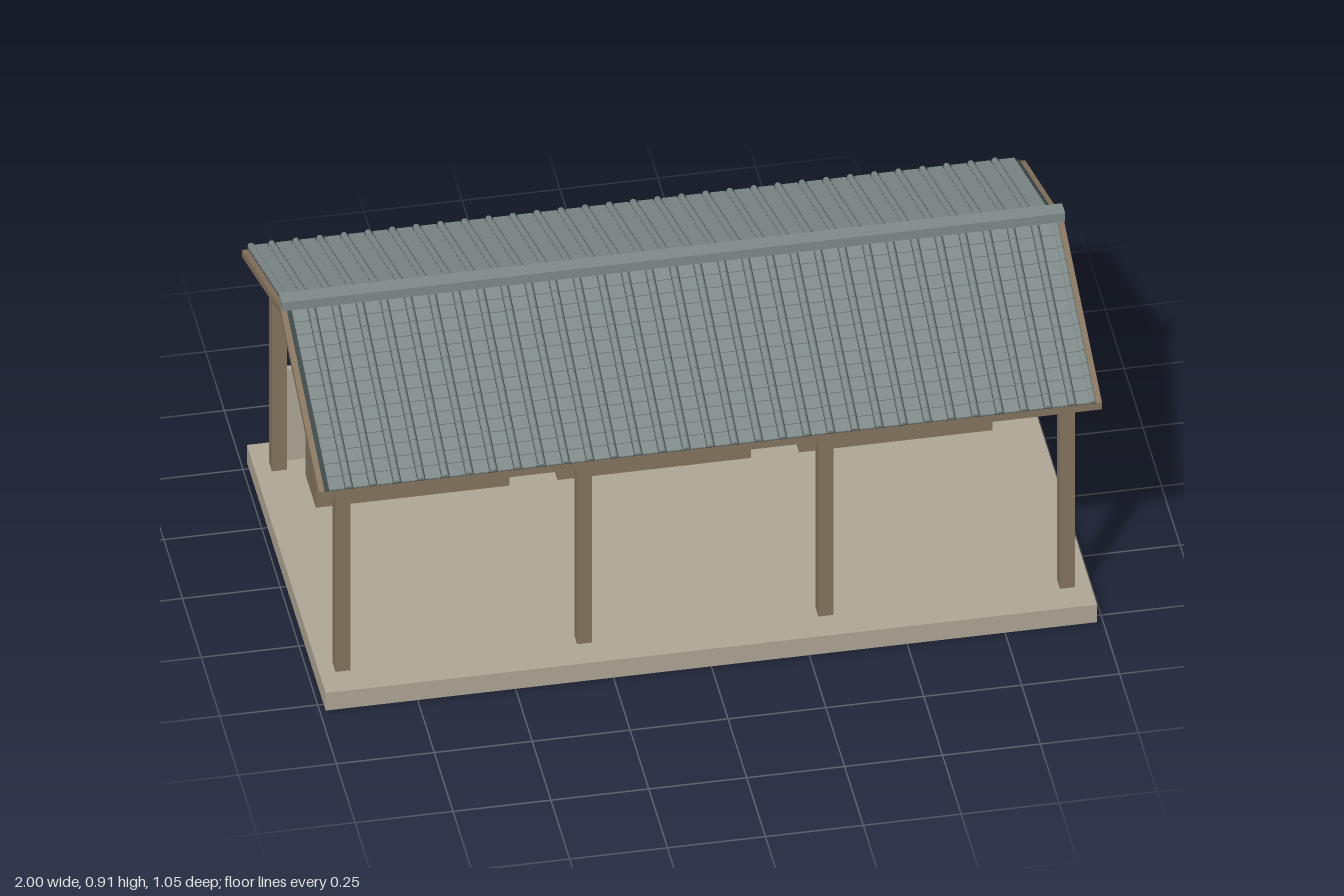
import * as THREE from 'three';
import { mergeGeometries } from 'three/addons/utils/BufferGeometryUtils.js';

const stone = new THREE.MeshStandardMaterial({ color: 0xada594, name: 'stone' });
const wood = new THREE.MeshStandardMaterial({ color: 0x84735e, name: 'wood' });
const tile = new THREE.MeshStandardMaterial({ color: 0x7d8988, name: 'roofTile' });
const dark = new THREE.MeshStandardMaterial({ color: 0x3a4444, name: 'darkUnderlay' });

// Box given by its limits along x, y and z
function box(name, material, x0, x1, y0, y1, z0, z1) {
  const mesh = new THREE.Mesh(new THREE.BoxGeometry(x1 - x0, y1 - y0, z1 - z0), material);
  mesh.position.set((x0 + x1) / 2, (y0 + y1) / 2, (z0 + z1) / 2);
  mesh.name = name;
  return mesh;
}

// Open feeding trough made of a floor and four boards
function makeTrough(x) {
  const g = new THREE.Group();
  g.name = 'trough';
  const w = 0.247, t = 0.018, y0 = 0.055, y1 = 0.202, z0 = -0.38, z1 = -0.237;
  g.add(
    box('troughFloor', wood, -w + t, w - t, y0, y0 + 0.03, z0 + t, z1 - t),
    box('troughFront', wood, -w, w, y0, y1, z1 - t, z1),
    box('troughBack', wood, -w, w, y0, y1, z0, z0 + t),
    box('troughEnd', wood, -w, -w + t, y0, y1, z0 + t, z1 - t),
    box('troughEnd', wood, w - t, w, y0, y1, z0 + t, z1 - t)
  );
  g.position.x = x;
  return g;
}

// One roof slope: underlay plus overlapping courses of pan and cover tiles.
// Local +z runs down the slope, local y is the roof normal.
function makeTiles(length, angle) {
  const g = new THREE.Group();
  g.name = 'tiledSlope';
  g.add(box('underlay', dark, -0.985, 0.985, 0, 0.003, 0.01, length));

  const columns = 32, rows = 14, half = 0.985;
  const pitch = 2 * half / columns;
  const start = 0.012, step = (length + 0.002 - start) / rows;
  const tileLength = step * 1.12;

  // cover tile cross-section
  const rib = new THREE.Shape();
  [[-0.009, 0], [-0.007, 0.006], [-0.003, 0.009], [0.003, 0.009], [0.007, 0.006], [0.009, 0]]
    .forEach(([x, y], i) => (i ? rib.lineTo(x, y) : rib.moveTo(x, y)));
  rib.closePath();
  const cover = new THREE.ExtrudeGeometry(rib, { depth: tileLength, bevelEnabled: false });
  cover.translate(0, 0, -tileLength / 2);
  const pan = new THREE.BoxGeometry(pitch - 0.0225, 0.004, tileLength).toNonIndexed();

  const parts = [];
  for (let r = 0; r < rows; r++) {
    const z = start + step * (r + 1) - tileLength / 2;
    for (let c = 0; c < columns; c++) {
      const x = -half + pitch * (c + 0.5);
      parts.push(pan.clone().rotateX(-0.07).translate(x, 0.005, z));
      parts.push(cover.clone().rotateX(-0.07).translate(x + pitch / 2 - (c === columns - 1 ? 0.009 : 0), 0.004, z));
    }
  }
  const tiles = new THREE.Mesh(mergeGeometries(parts), tile);
  tiles.name = 'roofTiles';
  g.add(tiles);
  g.rotation.x = angle;
  return g;
}

export function createModel() {
  const model = new THREE.Group();
  model.name = 'openShelter';

  model.add(box('base', stone, -0.985, 0.985, 0, 0.055, -0.527, 0.527));
  model.add(box('backWall', stone, -0.908, 0.908, 0.055, 0.34, -0.461, -0.445));

  // Posts and eave beams
  for (const z of [-0.426, 0.426]) {
    for (const x of [-0.925, -0.308, 0.308, 0.925]) {
      model.add(box('post', wood, x - 0.019, x + 0.019, 0.055, 0.69, z - 0.019, z + 0.019));
    }
    model.add(box('eaveBeam', wood, -0.945, 0.945, 0.662, 0.689, z - 0.023, z + 0.023));
  }

  for (const x of [-0.617, 0, 0.617]) model.add(makeTrough(x));

  // Gabled roof deck
  const eave = 0.515, rise = 0.199, apex = 0.875, thick = 0.019;
  const deck = new THREE.Shape();
  deck.moveTo(-eave, apex - rise - thick);
  deck.lineTo(0, apex - thick);
  deck.lineTo(eave, apex - rise - thick);
  deck.lineTo(eave, apex - rise + 0.002);
  deck.lineTo(0, apex);
  deck.lineTo(-eave, apex - rise + 0.002);
  deck.closePath();
  const deckGeometry = new THREE.ExtrudeGeometry(deck, { depth: 2, bevelEnabled: false });
  deckGeometry.translate(0, 0, -1).rotateY(Math.PI / 2);
  const roofDeck = new THREE.Mesh(deckGeometry, wood);
  roofDeck.name = 'roofDeck';
  model.add(roofDeck);

  // Tiles on both slopes
  const angle = Math.atan2(rise - 0.002, eave);
  for (const turn of [0, Math.PI]) {
    const side = new THREE.Group();
    side.name = turn ? 'backRoof' : 'frontRoof';
    side.add(makeTiles(Math.hypot(eave, rise), angle));
    side.position.y = apex + 0.001;
    side.rotation.y = turn;
    model.add(side);
  }

  model.add(box('ridgeCap', tile, -1, 1, 0.881, 0.908, -0.021, 0.021));
  return model;
}
